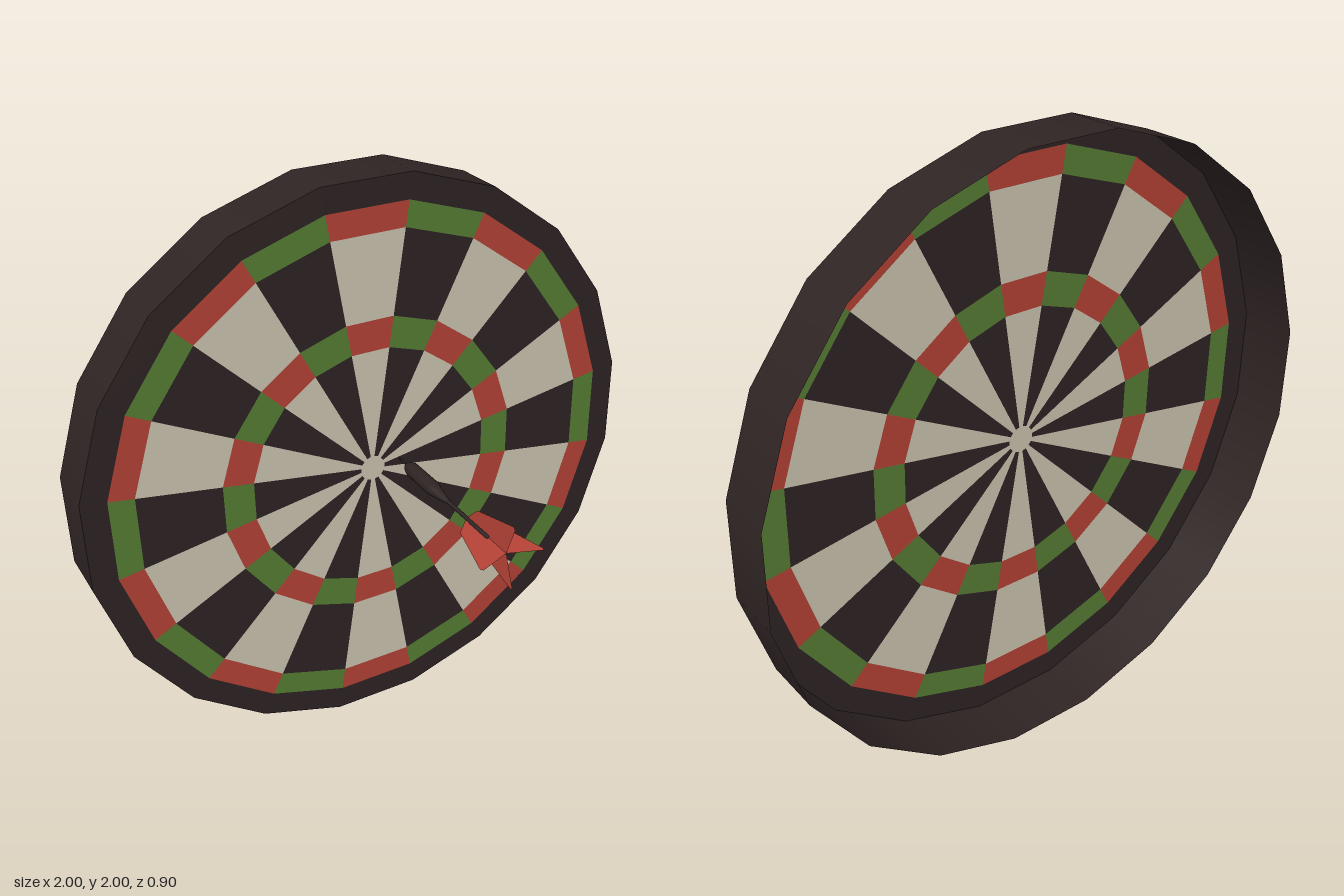
import * as THREE from 'three';
import { mergeGeometries } from 'three/addons/utils/BufferGeometryUtils.js';

const SIDES = 20;
const STEP = (Math.PI * 2) / SIDES;
const RADIUS = 1.0125;
const FRONT = -0.26, BACK = -0.455;

function material(name, color) {
  const m = new THREE.MeshStandardMaterial({ color, side: THREE.DoubleSide });
  m.name = name;
  return m;
}

// Flat straight-edged patch of one sector between two radii
function patch(k, inner, outer) {
  const at = (r, a) => new THREE.Vector2(r * Math.cos(a), r * Math.sin(a));
  const a0 = (k - 0.5) * STEP, a1 = (k + 0.5) * STEP;
  const pts = [at(inner, a0), at(outer, a0), at(outer, a1)];
  pts.push(at(inner, a1));
  if (inner === 0) pts.pop(), (pts[0] = new THREE.Vector2(0, 0));
  return new THREE.ShapeGeometry(new THREE.Shape(pts));
}

export function createModel() {
  const dark = material('dark brown', 0x2f2424);
  const cream = material('cream', 0xcfc8b4);
  const red = material('red', 0xb74336);
  const green = material('green', 0x587f35);

  const model = new THREE.Group();
  const add = (parent, name, geo, mat) => {
    const mesh = new THREE.Mesh(geo, mat);
    mesh.name = name;
    parent.add(mesh);
    return mesh;
  };

  // Board: a shallow shell, open at the back
  const board = new THREE.Group();
  board.name = 'board';
  board.position.y = 1;
  model.add(board);

  const wall = new THREE.CylinderGeometry(RADIUS, RADIUS, FRONT - BACK, SIDES, 1, true, STEP / 2);
  wall.rotateX(Math.PI / 2);
  add(board, 'boardWall', wall, dark).position.z = (FRONT + BACK) / 2;

  // Face rings: inner radius, outer radius, even-sector and odd-sector colours
  const rings = [
    ['bullseye', 0, 0.045, cream, cream],
    ['innerField', 0.045, 0.44, dark, cream],
    ['innerBand', 0.44, 0.548, green, red],
    ['outerField', 0.548, 0.838, dark, cream],
    ['outerBand', 0.838, 0.925, green, red],
    ['rimFace', 0.925, RADIUS, dark, dark],
  ];
  for (const [name, inner, outer, evenMat, oddMat] of rings) {
    [evenMat, oddMat].forEach((mat, parity) => {
      const parts = [];
      for (let k = parity; k < SIDES; k += 2) parts.push(patch(k, inner, outer));
      add(board, name + (parity ? 'Odd' : 'Even'), mergeGeometries(parts), mat).position.z = FRONT;
    });
  }

  // Dart: turned body along z with four crossed fins
  const dart = new THREE.Group();
  dart.name = 'dart';
  dart.position.set(0.102, 1.01, 0);
  model.add(dart);

  const turned = (name, profile) => {
    const geo = new THREE.LatheGeometry(profile.map(([r, z]) => new THREE.Vector2(r, z)), 8);
    geo.rotateX(Math.PI / 2);
    add(dart, name, geo, dark);
  };
  turned('needle', [[0, -0.262], [0.004, -0.24], [0.004, -0.19]]);
  turned('barrel', [[0, -0.203], [0.013, -0.2], [0.025, -0.175], [0.026, -0.03], [0.02, 0], [0.008, 0.065]]);
  turned('shaft', [[0.007, 0.06], [0.007, 0.2], [0.009, 0.21], [0.009, 0.31], [0, 0.31]]);

  const fin = new THREE.Shape([[0, 0.19], [0.014, 0.192], [0.062, 0.24], [0.115, 0.44], [0.108, 0.449], [0, 0.408]]
    .map(([x, y]) => new THREE.Vector2(x, y)));
  for (let i = 0; i < 4; i++) {
    const geo = new THREE.ShapeGeometry(fin);
    geo.rotateX(Math.PI / 2);
    add(dart, 'fin' + (i + 1), geo, red).rotation.z = (i * Math.PI) / 2;
  }
  return model;
}
